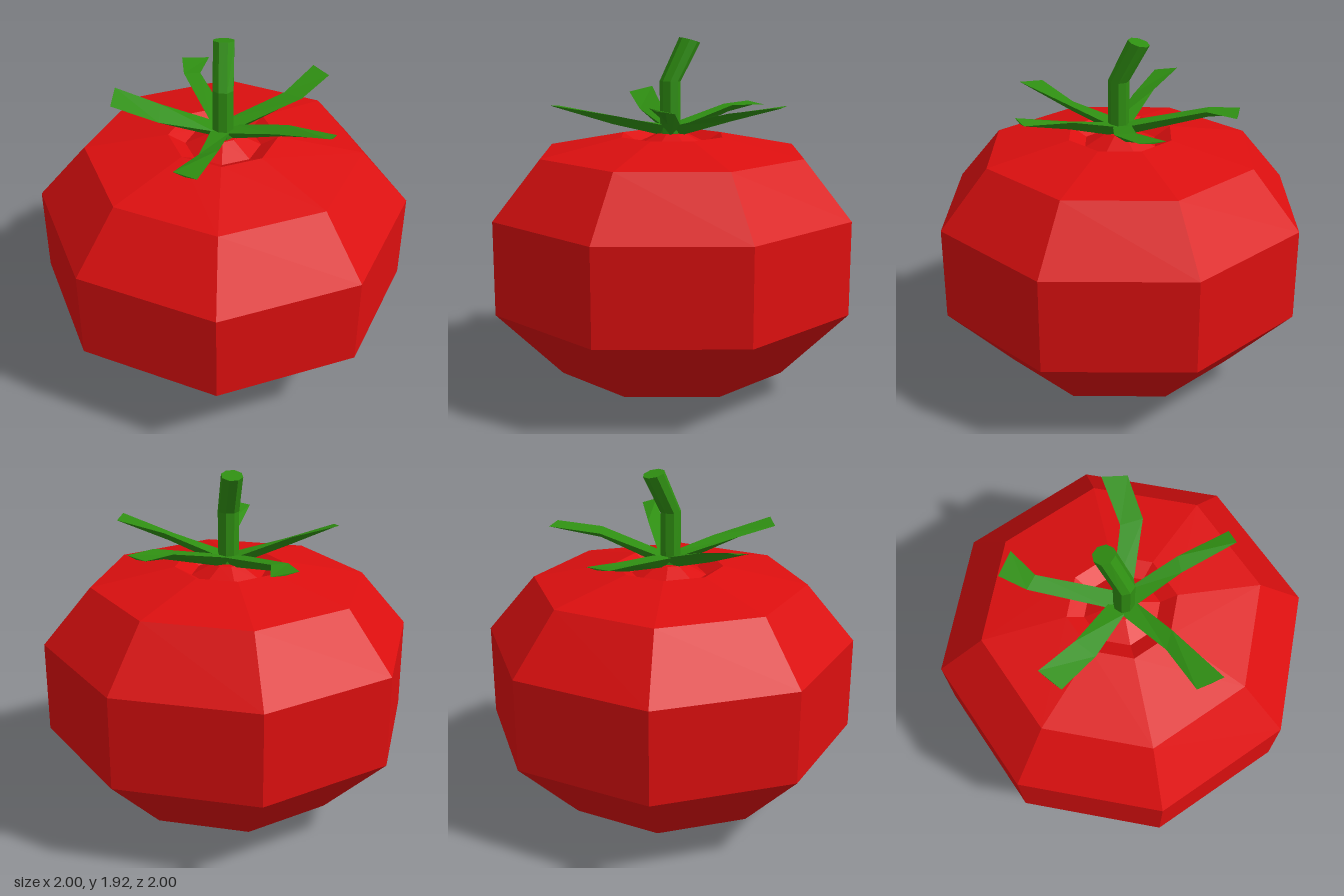
import * as THREE from 'three';

const red = new THREE.MeshStandardMaterial({ color: 0xdc0f0f });
red.name = 'tomatoRed';
const green = new THREE.MeshStandardMaterial({ color: 0x2f8f12 });
green.name = 'stemGreen';

// Faceted mesh: every face gets its own flat normal
function facetedMesh(name, geometry, material) {
  const geo = geometry.index ? geometry.toNonIndexed() : geometry;
  geo.computeVertexNormals();
  const mesh = new THREE.Mesh(geo, material);
  mesh.name = name;
  return mesh;
}

// Closed skin over rings of points, each counter-clockwise seen from the far end
function loft(rings) {
  const pos = [];
  const tri = (...pts) => pts.forEach((p) => pos.push(...p));
  const n = rings[0].length;
  for (let i = 0; i < rings.length - 1; i++) {
    for (let j = 0; j < n; j++) {
      const k = (j + 1) % n;
      const a = rings[i], b = rings[i + 1];
      tri(a[j], a[k], b[k]);
      tri(a[j], b[k], b[j]);
    }
  }
  const first = rings[0], last = rings[rings.length - 1];
  for (let j = 1; j < n - 1; j++) {
    tri(first[0], first[j + 1], first[j]);
    tri(last[0], last[j], last[j + 1]);
  }
  const geo = new THREE.BufferGeometry();
  geo.setAttribute('position', new THREE.Float32BufferAttribute(pos, 3));
  return geo;
}

// Leaf with a flat top and a keel below, from its middle and tip edges
function leafGeometry([midR, midL, tipR, tipL]) {
  const dx = (tipR[0] + tipL[0]) / 2, dz = (tipR[2] + tipL[2]) / 2;
  const len = Math.hypot(dx, dz);
  const ux = dx / len, uz = dz / len;
  const base = (side) => [ux * 0.04 + uz * side, 1.455, uz * 0.04 - ux * side];
  const section = (r, l, depth) => [
    r, l, [(r[0] + l[0]) / 2, (r[1] + l[1]) / 2 - depth, (r[2] + l[2]) / 2],
  ];
  return loft([
    section(base(0.05), base(-0.05), 0.06),
    section(midR, midL, 0.04),
    section(tipR, tipL, 0.008),
  ]);
}

// Middle right, middle left, tip right, tip left of each leaf
const leaves = [
  [[-0.01, 1.51, 0.30], [-0.11, 1.50, 0.33], [-0.10, 1.575, 0.65], [-0.22, 1.56, 0.57]],
  [[-0.33, 1.51, 0.06], [-0.33, 1.55, -0.06], [-0.58, 1.585, 0.03], [-0.57, 1.615, -0.11]],
  [[-0.23, 1.53, -0.42], [-0.14, 1.53, -0.43], [-0.25, 1.54, -0.58], [-0.10, 1.53, -0.61]],
  [[0.32, 1.54, -0.22], [0.41, 1.55, -0.14], [0.48, 1.585, -0.44], [0.56, 1.585, -0.33]],
  [[0.33, 1.55, 0.12], [0.27, 1.53, 0.18], [0.57, 1.59, 0.27], [0.53, 1.61, 0.34]],
];

export function createModel() {
  const model = new THREE.Group();
  model.name = 'tomato';

  // Fruit: eight-sided body with a dimple and a small raised centre on top
  const profile = [
    [0, 0], [0.21, 0], [0.64, 0.13], [1, 0.5], [1, 1], [0.74, 1.31],
    [0.29, 1.4], [0.2, 1.35], [0.08, 1.41], [0, 1.41],
  ].map(([r, y]) => new THREE.Vector2(r, y));
  model.add(facetedMesh('fruit', new THREE.LatheGeometry(profile, 8), red));

  // Stem: upright, then bent towards the back, with a tilted cut end
  const stemRings = [[1.38, 0.01, 0], [1.69, 0.01, 0.02], [1.905, -0.103, 0.28]].map(
    ([y, z, tilt]) => Array.from({ length: 8 }, (_, i) => {
      const a = (i + 0.5) * Math.PI / 4;
      const dz = -0.056 * Math.sin(a);
      return [0.058 * Math.cos(a), y + dz * tilt, z + dz];
    }));
  model.add(facetedMesh('stem', loft(stemRings), green));

  // Leaves around the stem
  const calyx = new THREE.Group();
  calyx.name = 'calyx';
  leaves.forEach((leaf, i) => {
    calyx.add(facetedMesh(`leaf${i + 1}`, leafGeometry(leaf), green));
  });
  model.add(calyx);

  return model;
}
